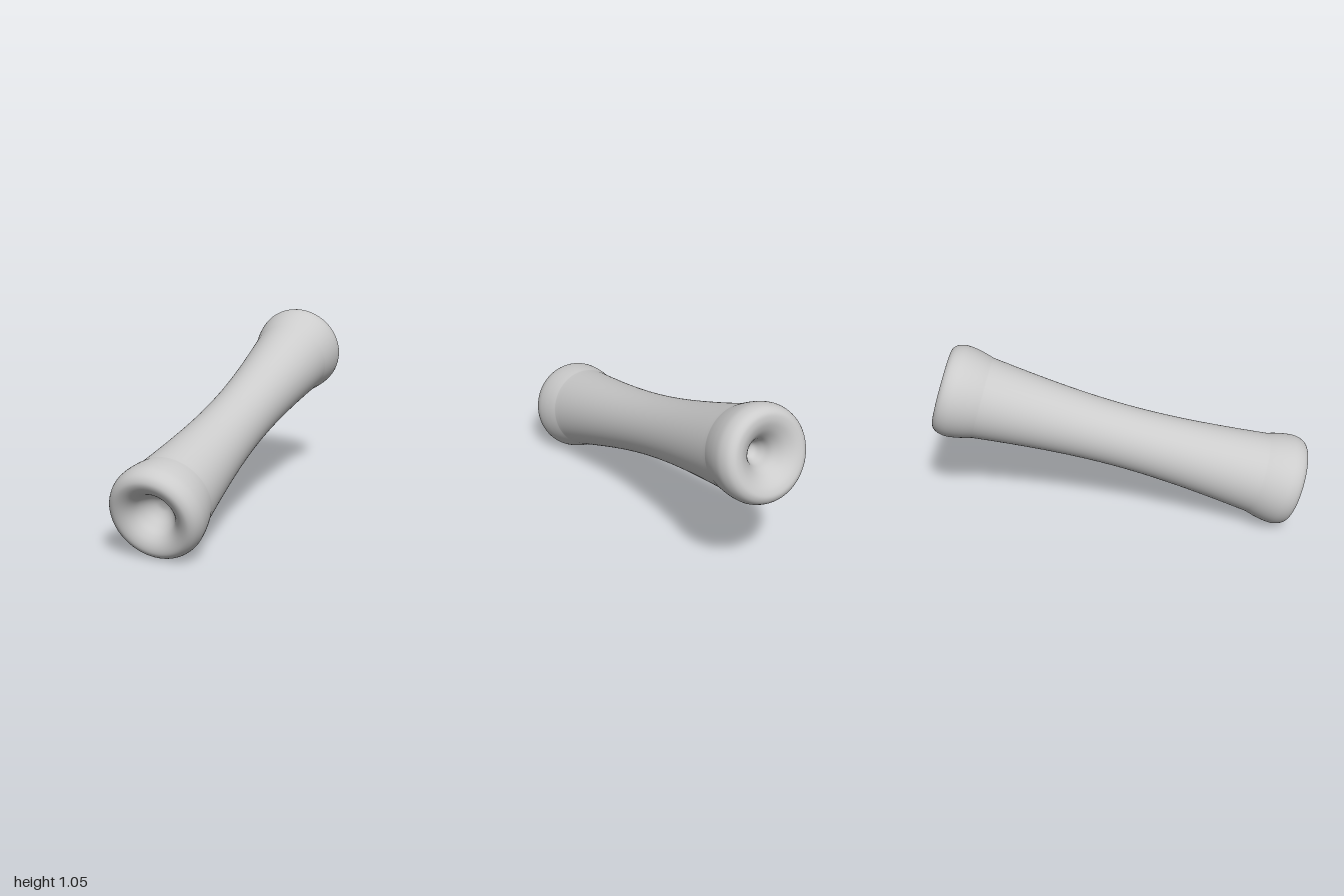
import * as THREE from 'three';

// Smooth curve through [radius, height] points
function smooth(points, steps) {
  const curve = new THREE.SplineCurve(points.map(([r, h]) => new THREE.Vector2(r, h)));
  return curve.getPoints(steps).map((p) => p.set(Math.max(p.x, 0), p.y));
}

// Rounded rim: from the neck crease over the lip
const rim = [
  [0.236, 0.82], [0.25, 0.87], [0.262, 0.93], [0.265, 0.985],
  [0.25, 1.033], [0.222, 1.057], [0.19, 1.058],
];
// Hollows running from the lip down to the centre
const frontHollow = [[0.155, 1.042], [0.125, 1.012], [0.1, 0.97], [0.07, 0.93], [0.035, 0.905], [0, 0.9]];
const backHollow = [[0.155, 1.045], [0.115, 1.015], [0.08, 0.97], [0.058, 0.92], [0.035, 0.88], [0, 0.865]];

// One half of the profile, from the waist outwards
function halfProfile(hollow) {
  const body = [];
  for (let i = 0; i < 24; i++) {
    const h = (0.82 * i) / 24;
    body.push(new THREE.Vector2(0.08 + Math.sqrt(0.01 + 0.0214 * h * h), h));
  }
  return [...body, ...smooth([...rim, ...hollow], 60)];
}

export function createModel() {
  const group = new THREE.Group();
  group.name = 'flaredSpool';

  // Full profile: front hollow, front rim, waisted body, back rim, back hollow
  const front = halfProfile(frontHollow).slice(1).reverse();
  front.forEach((p) => p.setY(-p.y));
  const profile = [...front, ...halfProfile(backHollow)];

  const spool = new THREE.Mesh(
    new THREE.LatheGeometry(profile, 96),
    new THREE.MeshStandardMaterial({ color: 0xcccccc, side: THREE.DoubleSide })
  );
  spool.name = 'spoolBody';

  // Lean the axis so the back end is raised and to the left
  const axis = new THREE.Vector3(0.475, 0.275, -0.836).normalize();
  spool.quaternion.setFromUnitVectors(new THREE.Vector3(0, 1, 0), axis);
  spool.position.y = 0.533;
  group.add(spool);
  return group;
}
